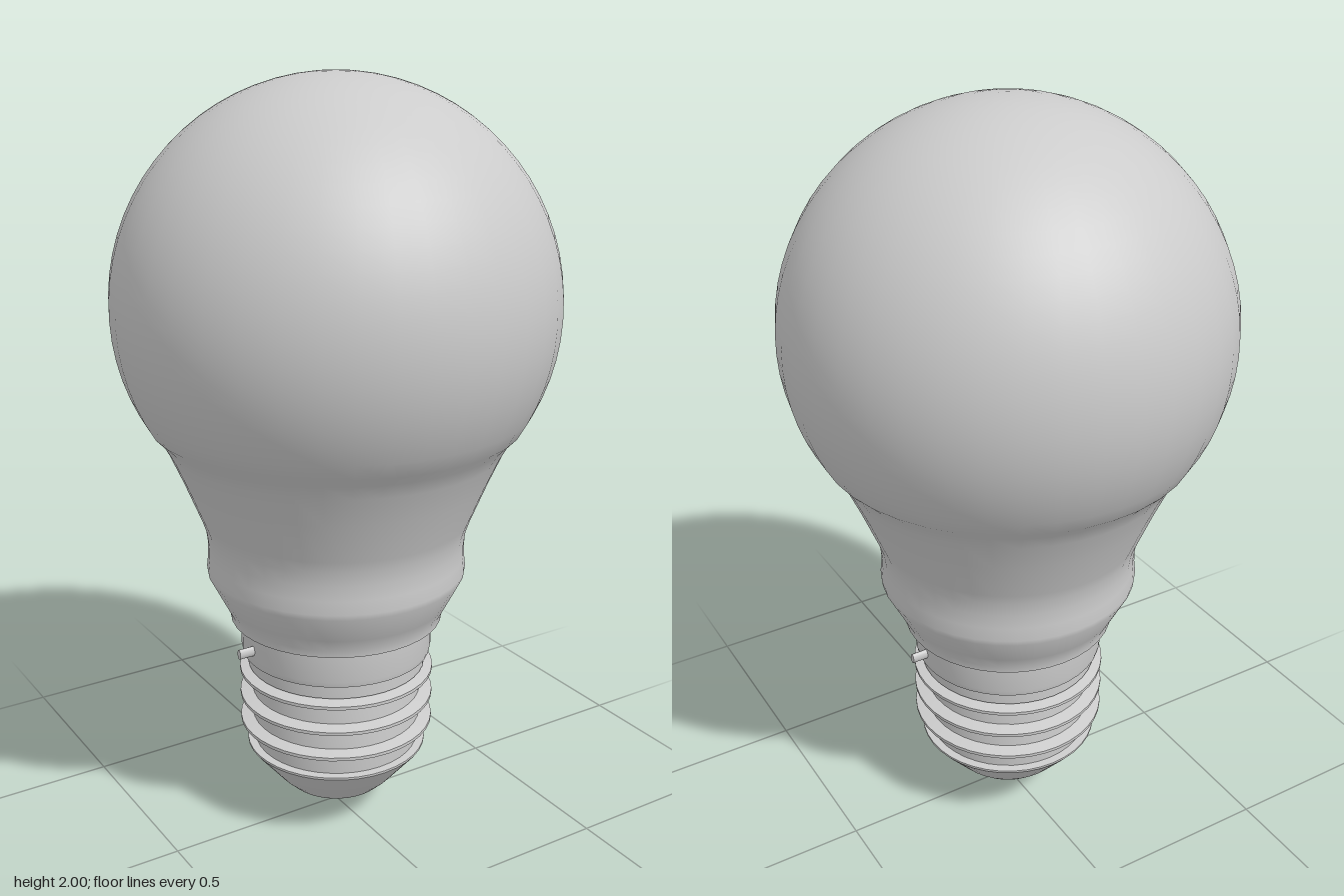
import * as THREE from 'three';
import { toCreasedNormals } from 'three/addons/utils/BufferGeometryUtils.js';

const SIDES = 40;
const material = new THREE.MeshStandardMaterial({ color: 0xcccccc, side: THREE.DoubleSide });

// Revolves a [radius, height] profile, listed from bottom to top
function turned(name, profile, crease = 0.6) {
  const points = profile.map(([r, y]) => new THREE.Vector2(r, y));
  const geometry = toCreasedNormals(new THREE.LatheGeometry(points, SIDES), crease);
  const mesh = new THREE.Mesh(geometry, material);
  mesh.name = name;
  return mesh;
}

export function createModel() {
  const bulb = new THREE.Group();
  bulb.name = 'lightBulb';

  // Glass: flared neck blending into a spherical dome
  const glass = [
    [0.255, 0.585], [0.285, 0.585], [0.287, 0.605], [0.305, 0.64], [0.343, 0.715],
    [0.345, 0.73], [0.341, 0.765], [0.341, 0.805], [0.346, 0.845], [0.356, 0.875],
    [0.4, 0.985], [0.435, 1.065], [0.457, 1.105],
  ];
  const radius = 0.568, centre = 1.432, rings = 24;
  const start = -0.56;
  for (let i = 0; i <= rings; i++) {
    const a = start + (Math.PI / 2 - start) * (i / rings);
    glass.push([radius * Math.max(0, Math.cos(a)), centre + radius * Math.sin(a)]);
  }
  bulb.add(turned('glass', glass));

  // Collar between glass and screw base
  bulb.add(turned('collar', [
    [0.24, 0.483], [0.255, 0.485], [0.258, 0.5], [0.258, 0.585], [0.24, 0.59],
  ]));

  // Screw base: core with raised thread ridges
  const screw = [[0.2, 0.207], [0.224, 0.21]];
  for (const y of [0.28, 0.355, 0.43]) {
    screw.push([0.226, y - 0.014], [0.24, y - 0.01], [0.264, y - 0.006],
      [0.264, y + 0.003], [0.24, y + 0.008], [0.23, y + 0.01]);
  }
  screw.push([0.241, 0.445], [0.241, 0.478], [0.235, 0.486]);
  bulb.add(turned('screwBase', screw, 0.5));

  // Tapered insulator with a thin rim at its top
  bulb.add(turned('insulator', [
    [0.11, 0.078], [0.136, 0.08], [0.165, 0.108], [0.24, 0.198], [0.246, 0.206],
    [0.246, 0.212], [0.215, 0.214],
  ]));

  // Bottom contact and solder tip
  bulb.add(turned('contact', [
    [0, 0.02], [0.02, 0.021], [0.04, 0.026], [0.135, 0.079], [0.12, 0.082],
  ]));
  bulb.add(turned('solderTip', [[0, 0], [0.008, 0.004], [0.014, 0.012], [0.016, 0.03]]));

  // Locating pins on both sides of the collar
  for (const side of [-1, 1]) {
    const pin = new THREE.Mesh(new THREE.CylinderGeometry(0.014, 0.014, 0.06, 12), material);
    pin.name = side > 0 ? 'leftPin' : 'rightPin';
    pin.rotation.z = Math.PI / 2;
    pin.scale.z = 0.6;
    pin.position.set(side * 0.27, 0.53, 0);
    bulb.add(pin);
  }

  return bulb;
}
